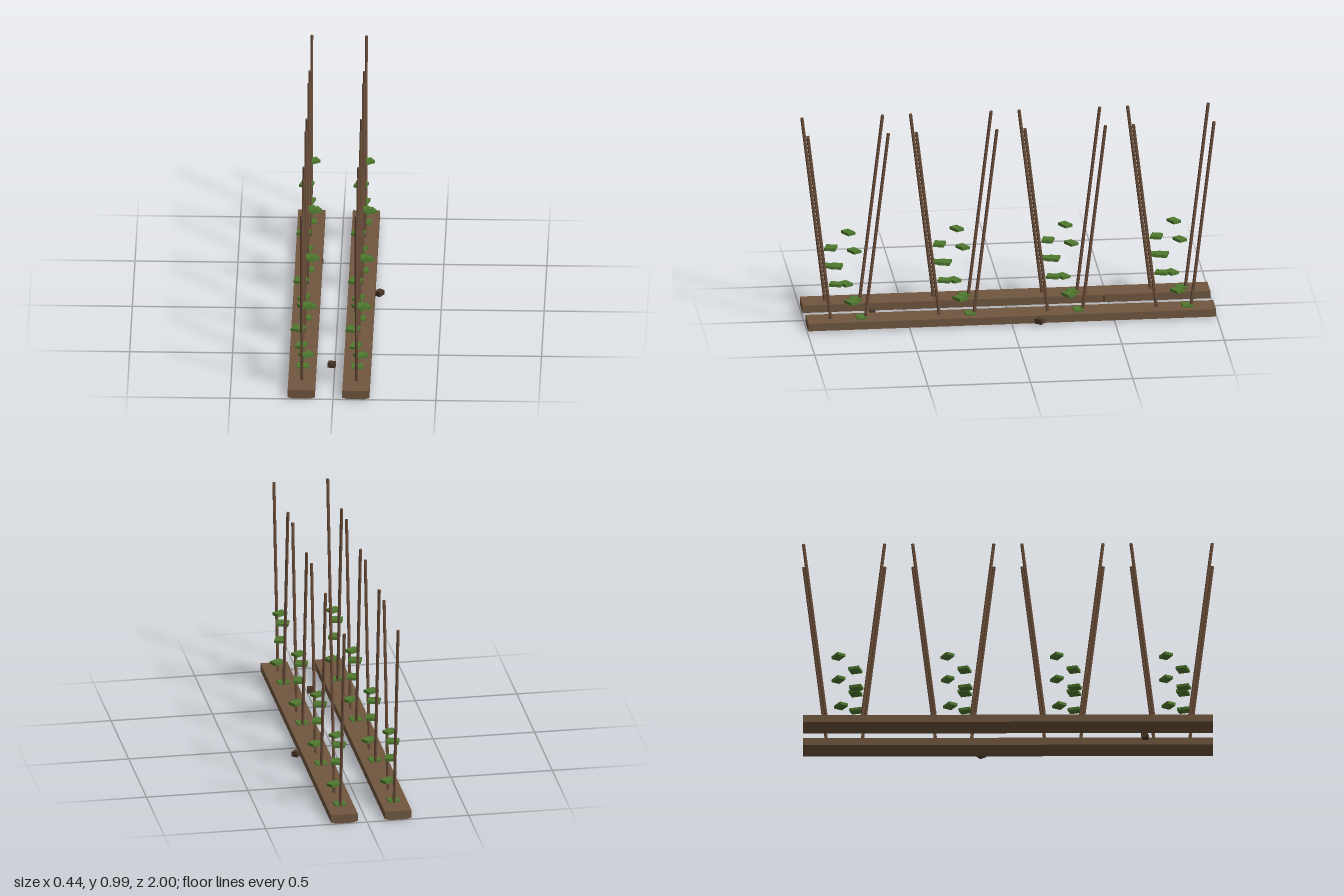
import * as THREE from 'three';

const mat = (name, color) => {
  const m = new THREE.MeshStandardMaterial({ color });
  m.name = name;
  return m;
};

export function createModel() {
  const model = new THREE.Group();
  model.name = 'plantedRows';
  const soil = mat('soilBrown', 0x70563f);
  const wood = mat('stakeBrown', 0x6b4e3a);
  const green = mat('leafGreen', 0x4f7a2f);
  const dark = mat('clodBrown', 0x4a3729);

  const add = (parent, name, geometry, material) => {
    const mesh = new THREE.Mesh(geometry, material);
    mesh.name = name;
    parent.add(mesh);
    return mesh;
  };

  // Bed: flat top, underside chamfered towards a flat keel
  const profile = new THREE.Shape([
    [-0.066, 0.007], [-0.04, 0], [0.04, 0], [0.066, 0.007], [0.066, 0.045], [-0.066, 0.045],
  ].map(([x, y]) => new THREE.Vector2(x, y)));
  const bedGeometry = new THREE.ExtrudeGeometry(profile, { depth: 1.99, bevelEnabled: false });
  bedGeometry.translate(0, 0, -0.995);

  // Stake: leans outwards along z from its foot to its tip
  const foot = new THREE.Vector3(0, 0.03, 0.083);
  const tip = new THREE.Vector3(0, 0.99, 0.197);
  const span = tip.clone().sub(foot);
  const stakeGeometry = new THREE.CylinderGeometry(0.008, 0.008, span.length(), 6).toNonIndexed();
  stakeGeometry.computeVertexNormals();
  stakeGeometry.rotateX(Math.atan2(span.z, span.y));
  stakeGeometry.translate(0, (foot.y + tip.y) / 2, (foot.z + tip.z) / 2);

  // Leaves: x, y, z, width, depth, turn, relative to the plant
  const leaves = [
    [0, 0.046, -0.065, 0.056, 0.05, 0.1],
    [0.019, 0.133, -0.015, 0.06, 0.045, 0.55],
    [-0.004, 0.22, 0.059, 0.045, 0.06, -0.3],
    [-0.018, 0.308, 0.054, 0.06, 0.054, -0.29],
    [0.01, 0.394, -0.028, 0.06, 0.043, 0.53],
  ];

  for (const [x, side] of [[-0.154, 'right'], [0.111, 'left']]) {
    const row = new THREE.Group();
    row.name = side + 'Row';
    row.position.x = x;
    model.add(row);
    add(row, 'bed', bedGeometry, soil);
    for (let i = 0; i < 4; i++) {
      const plant = new THREE.Group();
      plant.name = 'plant';
      plant.position.z = 0.795 - i * 0.53;
      row.add(plant);
      add(plant, 'frontStake', stakeGeometry, wood);
      add(plant, 'backStake', stakeGeometry, wood).rotation.y = Math.PI;
      for (const [lx, ly, lz, w, d, turn] of leaves) {
        const leaf = add(plant, 'leaf', new THREE.BoxGeometry(w, 0.014, d), green);
        leaf.position.set(lx, ly, lz);
        leaf.rotation.y = turn;
      }
    }
  }

  // Loose clods of earth beside the beds
  for (const [x, z, turn] of [[-0.014, 0.665, -0.2], [0.197, -0.13, 0.9], [-0.107, -0.48, 0.3]]) {
    const clod = add(model, 'clod', new THREE.BoxGeometry(0.037, 0.025, 0.03), dark);
    clod.position.set(x, 0.025, z);
    clod.rotation.y = turn;
  }
  return model;
}
